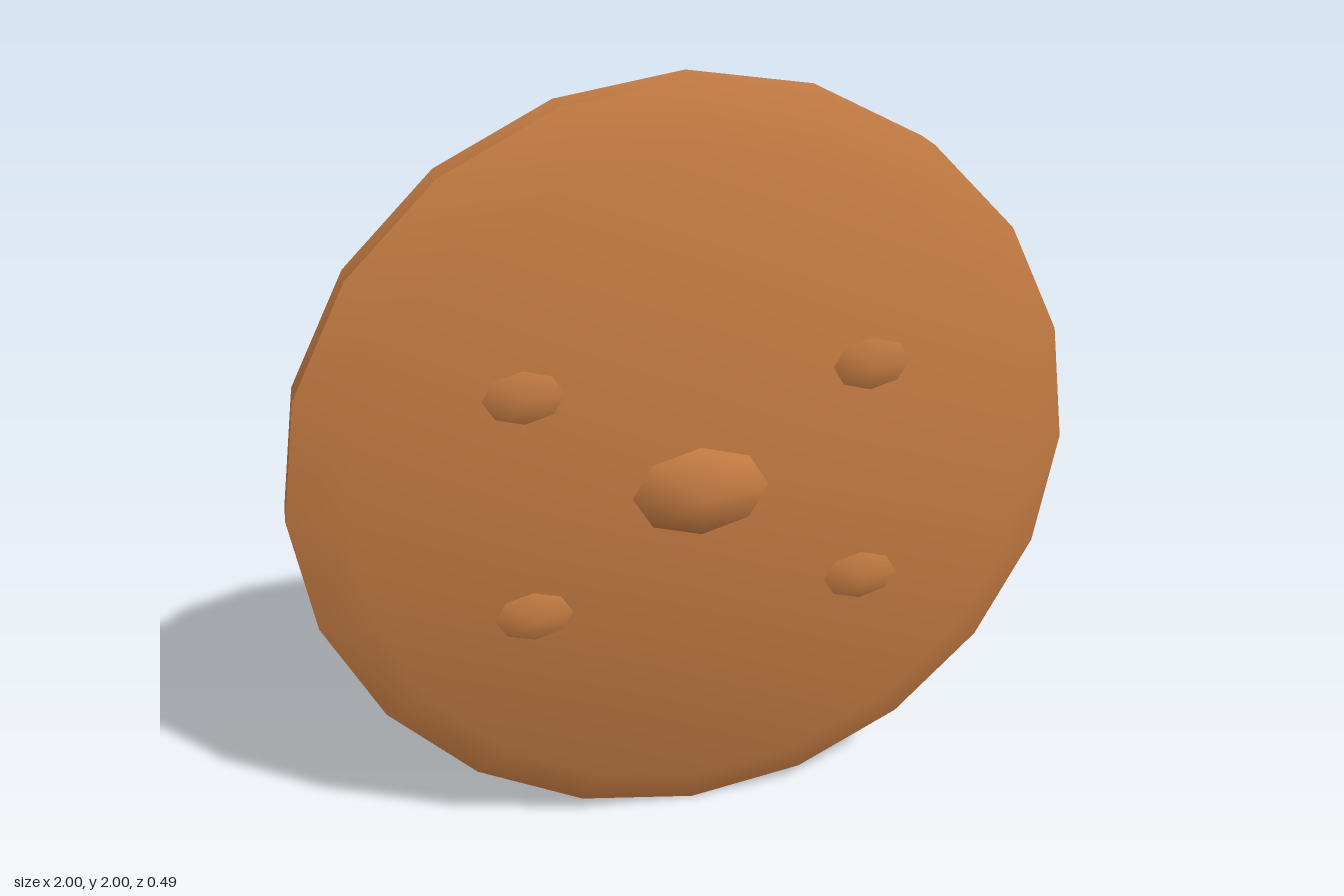
import * as THREE from 'three';
import { toCreasedNormals } from 'three/addons/utils/BufferGeometryUtils.js';

export function createModel() {
  const model = new THREE.Group();
  const brown = new THREE.MeshStandardMaterial({ color: 0xc27a42 });
  brown.name = 'warm brown';

  // Round dish: recessed back, sloped lip, bevelled front; the lathe axis becomes z
  const profile = [
    [0, 0.08], [0.82, 0.08], [0.905, 0], [1, 0.017],
    [1, 0.1], [0.86, 0.184], [0, 0.184],
  ].map(([r, z]) => new THREE.Vector2(r, z));
  const dishGeometry = new THREE.LatheGeometry(profile, 20).rotateX(Math.PI / 2);
  const dish = new THREE.Mesh(toCreasedNormals(dishGeometry, 0.7), brown);
  dish.name = 'dish';
  dish.position.y = 1;
  model.add(dish);

  // Squashed low-poly beads with their poles along z
  function addBead(name, x, y, size) {
    const geometry = new THREE.SphereGeometry(1, 8, 5)
      .rotateX(Math.PI / 2)
      .scale(size * 1.14, size * 0.79, size);
    const bead = new THREE.Mesh(toCreasedNormals(geometry, 0.87), brown);
    bead.name = name;
    bead.position.set(x, y, 0);
    model.add(bead);
  }

  addBead('centreBead', 0, 1, 0.243);
  for (const up of [1, -1]) {
    const row = up > 0 ? 'upper' : 'lower';
    addBead(row + 'SmallBead', 0, 1 + up * 0.557, 0.18);
    for (const side of [1, -1]) {
      addBead(row + (side > 0 ? 'Left' : 'Right') + 'Bead', side * 0.428, 1 + up * 0.298, 0.212);
    }
  }
  return model;
}
